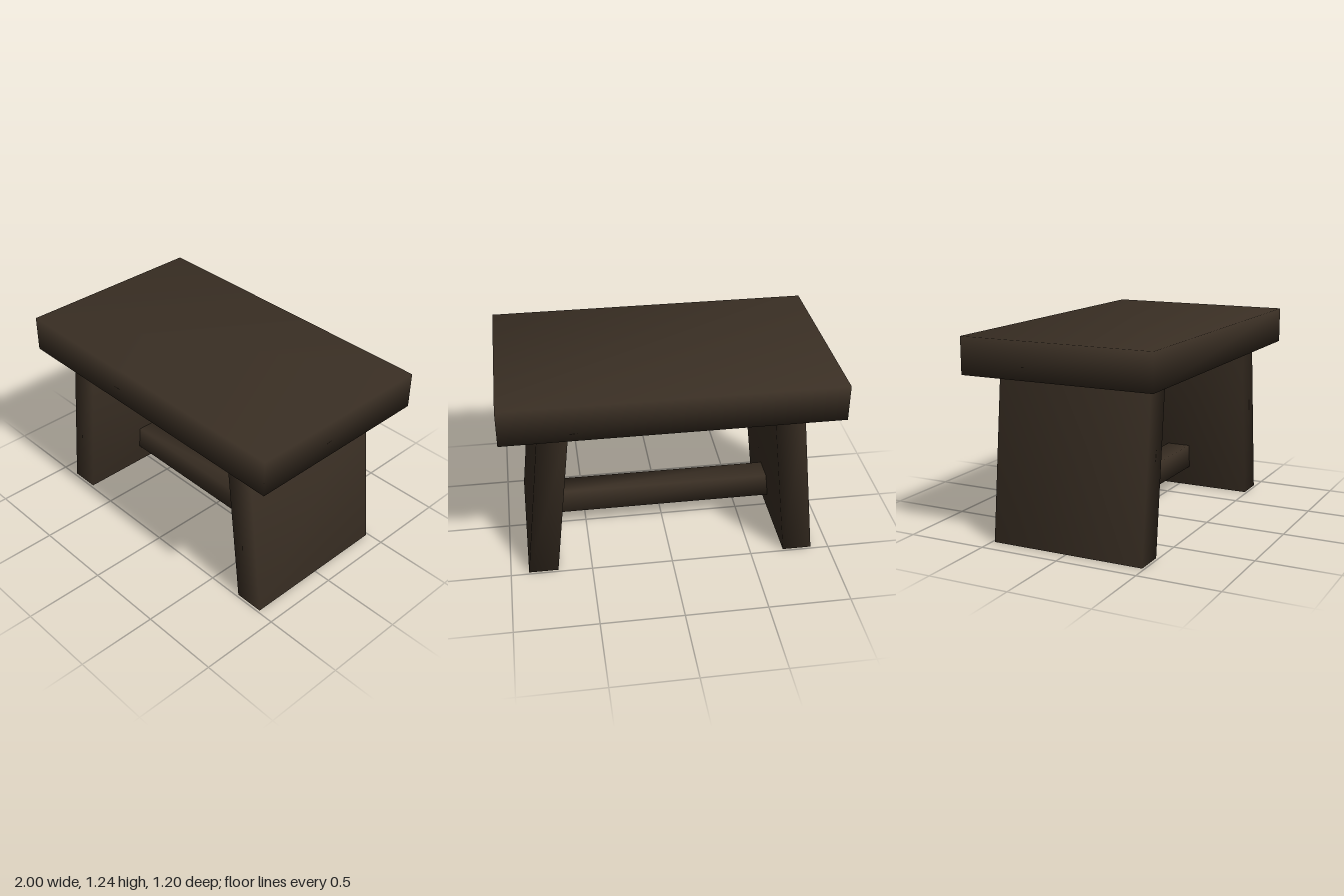
import * as THREE from 'three';
import { mergeVertices } from 'three/addons/utils/BufferGeometryUtils.js';

const wood = new THREE.MeshStandardMaterial({ color: 0x3a2f24 });
wood.name = 'darkWood';

// Box between two heights; its top may be shifted sideways, and its corners share smooth normals
function softBox(name, width, depth, y0, y1, xBottom = 0, xTop = xBottom) {
  const height = y1 - y0;
  let geo = new THREE.BoxGeometry(width, height, depth);
  geo.deleteAttribute('normal');
  geo.deleteAttribute('uv');
  geo = mergeVertices(geo);
  const pos = geo.attributes.position;
  for (let i = 0; i < pos.count; i++) {
    pos.setX(i, pos.getX(i) + (pos.getY(i) > 0 ? xTop : xBottom));
  }
  geo.translate(0, y0 + height / 2, 0);
  geo.computeVertexNormals();
  const mesh = new THREE.Mesh(geo, wood);
  mesh.name = name;
  return mesh;
}

export function createModel() {
  const stool = new THREE.Group();
  stool.name = 'stool';

  // Thick slab seat
  stool.add(softBox('seat', 2, 1.2, 1.013, 1.235));

  // Splayed plank legs with level ends
  for (const side of [-1, 1]) {
    const name = side > 0 ? 'leftLeg' : 'rightLeg';
    stool.add(softBox(name, 0.18, 0.97, 0, 1.013, side * 0.8, side * 0.69));
  }

  // Square stretcher between the legs
  stool.add(softBox('stretcher', 1.4, 0.155, 0.135, 0.29));

  return stool;
}
